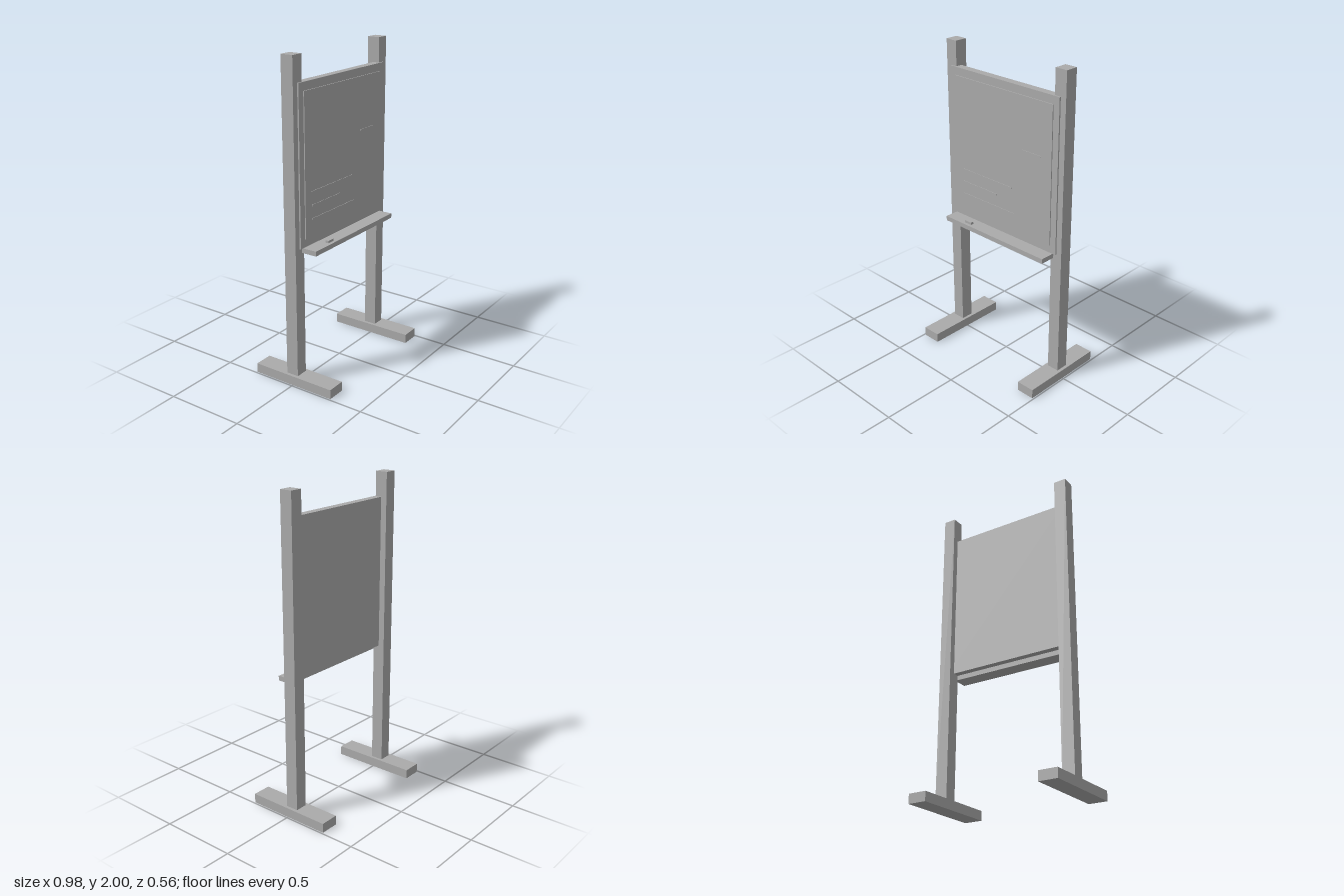
import * as THREE from 'three';

export function createModel() {
  const group = new THREE.Group();
  const grey = new THREE.MeshStandardMaterial({ color: 0xaaaaaa });
  grey.name = 'grey';

  // Box given by its limits along each axis
  const box = (name, [x0, x1], [y0, y1], [z0, z1]) => {
    const mesh = new THREE.Mesh(new THREE.BoxGeometry(x1 - x0, y1 - y0, z1 - z0), grey);
    mesh.position.set((x0 + x1) / 2, (y0 + y1) / 2, (z0 + z1) / 2);
    mesh.name = name;
    group.add(mesh);
  };

  // Feet and posts, mirrored
  for (const [side, s] of [['left', 1], ['right', -1]]) {
    const span = (a, b) => (s > 0 ? [a, b] : [-b, -a]);
    box(side + 'Foot', span(0.37, 0.49), [0, 0.06], [-0.28, 0.28]);
    box(side + 'Post', span(0.39, 0.47), [0.06, 2], [-0.057, 0.024]);
  }

  // Board with a raised writing surface
  box('board', [-0.432, 0.432], [0.875, 1.845], [-0.017, 0.033]);
  box('writingSurface', [-0.39, 0.39], [0.925, 1.795], [0.033, 0.039]);

  // Tray and the eraser lying on it
  box('tray', [-0.41, 0.41], [0.845, 0.875], [0.025, 0.125]);
  box('eraser', [-0.26, -0.206], [0.875, 0.89], [0.085, 0.105]);

  // Chalk strokes: start x, end x, height
  const strokes = [
    [0.165, 0.308, 1.465],
    [-0.33, 0.085, 1.2],
    [-0.33, -0.04, 1.117],
    [-0.33, 0.1, 1.034],
  ];
  strokes.forEach(([x0, x1, y], i) =>
    box('chalkStroke' + (i + 1), [x0, x1], [y - 0.004, y + 0.004], [0.039, 0.042]));

  return group;
}
